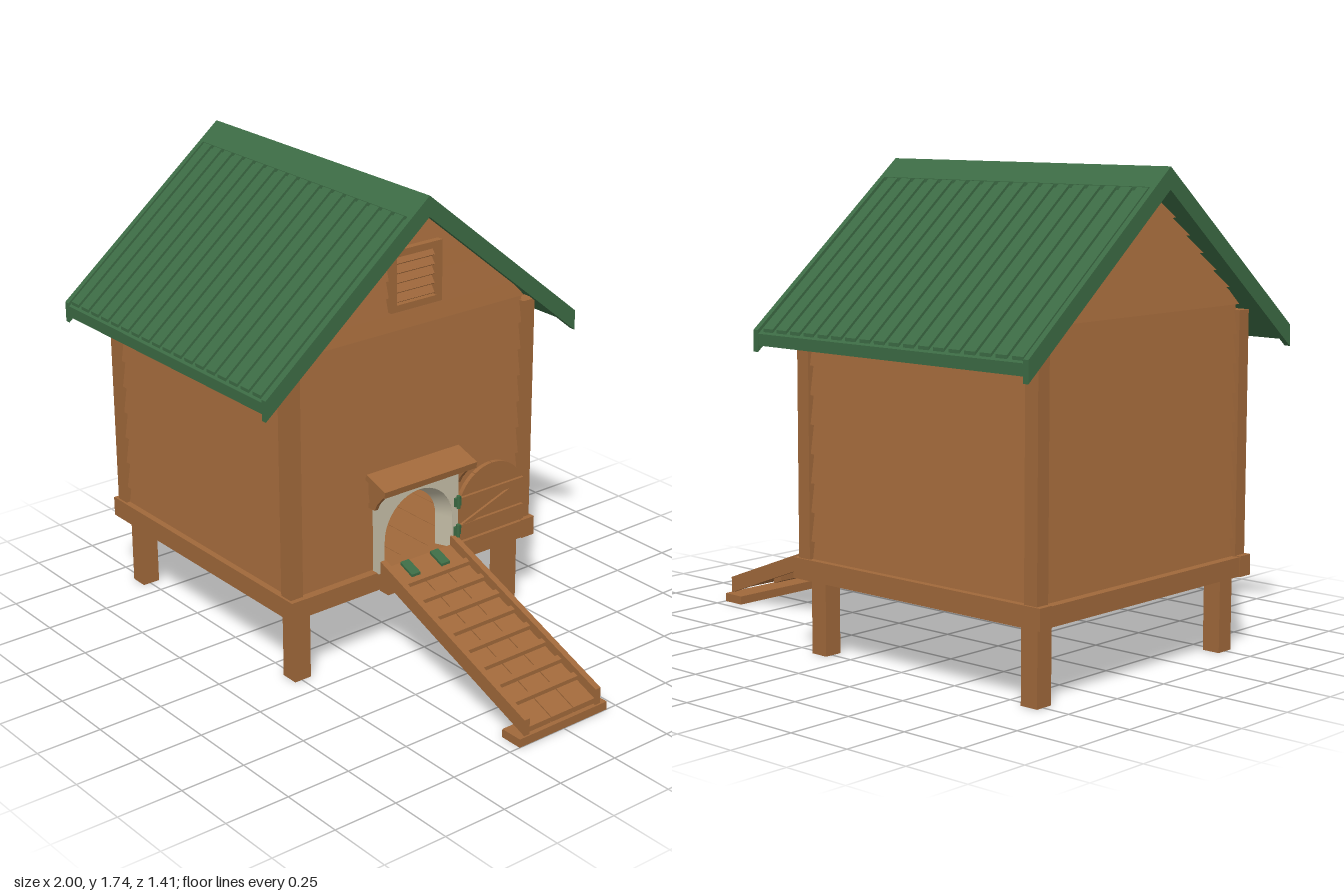
import * as THREE from 'three';
import { mergeGeometries } from 'three/addons/utils/BufferGeometryUtils.js';

const mat = (name, color, side = THREE.FrontSide) => {
  const m = new THREE.MeshStandardMaterial({ color, side });
  m.name = name;
  return m;
};

export function createModel() {
  const wood = mat('wood', 0xa0683a);
  const green = mat('greenRoof', 0x3c6b44);
  const cream = mat('creamPaint', 0xc4bda6, THREE.DoubleSide);
  const model = new THREE.Group();
  model.name = 'henHouse';

  const add = (name, geo, material, parent = model) => {
    const m = new THREE.Mesh(geo, material);
    m.name = name;
    parent.add(m);
    return m;
  };
  // Box given by its limits
  const boxGeo = (x0, x1, y0, y1, z0, z1) =>
    new THREE.BoxGeometry(x1 - x0, y1 - y0, z1 - z0).translate((x0 + x1) / 2, (y0 + y1) / 2, (z0 + z1) / 2);
  const shapeOf = pts => new THREE.Shape(pts.map(p => new THREE.Vector2(p[0], p[1])));
  // Outline in (x, y) extruded from z0 to z1
  const prismZ = (pts, z0, z1) =>
    new THREE.ExtrudeGeometry(shapeOf(pts), { depth: z1 - z0, bevelEnabled: false }).translate(0, 0, z0);
  // Outline in (z, y) extruded from x0 to x1
  const prismX = (pts, x0, x1) => prismZ(pts.map(([z, y]) => [-z, y]), x0, x1).rotateY(Math.PI / 2);

  // House limits
  const CX = -0.365, HX = 0.555, HZ = 0.565, SLOPE = 0.815;

  // One lapped board, thicker at its lower edge
  const board = (y0, y1, lo, hi, back, d0, d1) => {
    const g = new THREE.BoxGeometry(1, 1, 1), p = g.attributes.position;
    for (let i = 0; i < p.count; i++) {
      const top = p.getY(i) > 0, right = p.getX(i) > 0, front = p.getZ(i) > 0;
      p.setXYZ(i, (top ? hi : lo)[right ? 1 : 0], top ? y1 : y0, front ? (top ? d1 : d0) : back);
    }
    g.computeVertexNormals();
    return g;
  };
  // Siding facing +z, split around rectangular holes [u0, u1, y0, y1]
  const siding = (rows, half, d, holes = []) => {
    const parts = [];
    for (let i = 0; i < rows.length - 1; i++) {
      const a = rows[i], b = rows[i + 1];
      const cuts = [a, b, ...holes.flatMap(h => [h[2], h[3]]).filter(y => y > a && y < b)].sort((p, q) => p - q);
      const depth = y => d - 0.009 - 0.017 * (y - a) / (b - a);
      for (let k = 0; k < cuts.length - 1; k++) {
        const y0 = cuts[k], y1 = cuts[k + 1], m = (y0 + y1) / 2;
        const h = holes.find(o => m > o[2] && m < o[3]);
        const put = (lo, hi) => parts.push(board(y0, y1, lo, hi, d - 0.045, depth(y0), depth(y1)));
        if (h) {
          put([-half(y0), h[0]], [-half(y1), h[0]]);
          put([h[1], half(y0)], [h[1], half(y1)]);
        } else put([-half(y0), half(y0)], [-half(y1), half(y1)]);
      }
    }
    return mergeGeometries(parts);
  };
  const rows = [0.31];
  for (let i = 1; i <= 9; i++) rows.push(0.31 + i * 0.104);
  const gableRows = [...rows, 1.31, 1.373, 1.436, 1.5, 1.563, 1.625, 1.685];
  const gableHalf = y => Math.max(0.003, Math.min(0.52, (1.69 - y) / SLOPE));

  // Walls
  for (const s of [1, -1]) {
    const long = add(s > 0 ? 'frontWall' : 'backWall', siding(rows.slice(0, 10), () => 0.51, HZ), wood);
    long.position.x = CX;
    long.rotation.y = s > 0 ? 0 : Math.PI;
    const holes = s > 0 ? [[-0.17, 0.17, 0.31, 0.625], [-0.095, 0.095, 1.34, 1.53]] : [];
    const gable = add(s > 0 ? 'doorGable' : 'plainGable', siding(gableRows, gableHalf, HX, holes), wood);
    gable.position.x = CX;
    gable.rotation.y = s * Math.PI / 2;
  }

  // Corner posts, legs and base frame
  for (const sx of [1, -1]) {
    for (const sz of [1, -1]) {
      add('cornerPost', new THREE.BoxGeometry(0.055, 0.88, 0.055), wood)
        .position.set(CX + sx * (HX - 0.0275), 0.785, sz * (HZ - 0.0275));
      add('leg', new THREE.BoxGeometry(0.07, 0.3, 0.07), wood).position.set(CX + sx * 0.4925, 0.15, sz * 0.495);
    }
    add('sideSkirt', new THREE.BoxGeometry(0.06, 0.07, 1.03), wood).position.set(CX + sx * 0.542, 0.312, 0);
    add('longSkirt', new THREE.BoxGeometry(1.15, 0.075, 0.06), wood).position.set(CX, 0.3125, sx * 0.544);
    add('floorBeam', boxGeo(-0.84, 0.11, 0.247, 0.285, sx * 0.26 - 0.024, sx * 0.26 + 0.024), wood);
  }
  for (let i = 0; i < 8; i++) {
    const z = -0.515 + i * 0.12875;
    add('floorPlank', boxGeo(-0.9, 0.17, 0.283, 0.325, z + 0.001, z + 0.1277), wood);
  }

  // Roof halves: slab, bargeboards, ridge cap and raised ribs
  const strip = (s, z0, z1, top, bottom) => [
    [s * z0, top - SLOPE * z0], [s * z1, top - SLOPE * z1],
    [s * z1, bottom - SLOPE * z1], [s * z0, bottom - SLOPE * z0]];
  for (const s of [1, -1]) {
    add('roofSlab', prismX(strip(s, 0, 0.703, 1.726, 1.685), -0.98, 0.24), green);
    add('ridgeCap', prismX(strip(s, 0, 0.08, 1.74, 1.7), -0.99, 0.25), green);
    for (const x of [-1, 0.238]) add('bargeboard', prismX(strip(s, 0, 0.705, 1.74, 1.664), x, x + 0.022), green);
    const ribs = [];
    for (let i = 0; i < 18; i++) {
      const x = -0.97 + i * 0.0672;
      ribs.push(prismX(strip(s, 0.075, 0.695, 1.738, 1.72), x, x + 0.047));
    }
    add('roofRibs', mergeGeometries(ribs), green);
  }

  // Details on the door side: local x runs toward -z, local z toward +x
  const side = new THREE.Group();
  side.name = 'doorSide';
  side.rotation.y = Math.PI / 2;
  model.add(side);

  // Arch outline from lower right over the top to lower left
  const arch = (cx, cy, r, bottom, n = 20) => {
    const pts = [[cx + r, bottom]];
    for (let i = 0; i <= n; i++) pts.push([cx + r * Math.cos(Math.PI * i / n), cy + r * Math.sin(Math.PI * i / n)]);
    pts.push([cx - r, bottom]);
    return pts;
  };

  // Gable vent
  for (const s of [1, -1]) {
    add('ventFrameSide', boxGeo(s * 0.1025 - 0.0125, s * 0.1025 + 0.0125, 1.32, 1.545, 0.14, 0.195), wood, side);
    add('ventFrameRail', boxGeo(-0.09, 0.09, 1.4325 + s * 0.1 - 0.0125, 1.4325 + s * 0.1 + 0.0125, 0.14, 0.195), wood, side);
  }
  for (let i = 0; i < 5; i++) {
    const slat = add('ventSlat', new THREE.BoxGeometry(0.18, 0.03, 0.008), wood, side);
    slat.position.set(0, 1.362 + i * 0.035, 0.172);
    slat.rotation.x = -0.6;
  }

  // Door surround with a splayed arch
  const panel = shapeOf([[-0.187, 0.345], [-0.16, 0.345], ...arch(0, 0.468, 0.16, 0.345).reverse(),
    [0.187, 0.345], [0.187, 0.652], [-0.187, 0.652]]);
  add('doorSurround', new THREE.ExtrudeGeometry(panel, { depth: 0.035, bevelEnabled: false }).translate(0, 0, 0.18), cream, side);
  const outer = arch(0, 0.468, 0.16, 0.345), inner = arch(0, 0.468, 0.132, 0.345);
  const pos = [], idx = [];
  outer.forEach(([x, y], i) => {
    pos.push(x, y, 0.214, inner[i][0], inner[i][1], 0.15);
    if (i) idx.push(2 * i - 2, 2 * i, 2 * i - 1, 2 * i, 2 * i + 1, 2 * i - 1);
  });
  const splay = new THREE.BufferGeometry();
  splay.setAttribute('position', new THREE.Float32BufferAttribute(pos, 3));
  splay.setIndex(idx);
  splay.computeVertexNormals();
  add('archSplay', splay, cream, side);

  // Awning and its brackets
  add('awning', prismZ([[0.175, 0.735], [0.285, 0.7], [0.28, 0.675], [0.175, 0.71]], -0.215, 0.215), wood);
  add('awningRail', boxGeo(0.175, 0.222, 0.655, 0.715, -0.19, 0.19), wood);
  for (const z of [0.187, -0.202])
    add('awningBracket', prismZ([[0.175, 0.71], [0.27, 0.68], [0.222, 0.625], [0.21, 0.6], [0.175, 0.6]], z, z + 0.015), wood);

  // Open door: arched planks with a Z brace
  const DX = 0.355, DR = 0.165;
  for (let i = 0; i < 4; i++) {
    const a = -DR + i * DR / 2 + 0.001, b = a + DR / 2 - 0.002, pts = [[b, 0.358], [a, 0.358]];
    for (let k = 0; k <= 8; k++) {
      const u = a + (b - a) * k / 8;
      pts.push([u, 0.468 + Math.sqrt(DR * DR - u * u)]);
    }
    add('doorPlank', prismZ(pts, 0.192, 0.21).translate(DX, 0, 0), wood, side);
  }
  add('doorBar', boxGeo(0.2, 0.505, 0.51, 0.538, 0.208, 0.222), wood, side);
  add('doorBar', boxGeo(0.2, 0.505, 0.4, 0.428, 0.208, 0.222), wood, side);
  add('doorBrace', prismZ([[0.2, 0.428], [0.26, 0.428], [0.505, 0.51], [0.44, 0.51]], 0.208, 0.22), wood, side);
  for (const y of [0.528, 0.412]) {
    add('doorHinge', boxGeo(0.166, 0.196, y - 0.017, y + 0.017, 0.205, 0.224), green, side);
    add('hingePin', new THREE.CylinderGeometry(0.008, 0.008, 0.05, 10), green, side).position.set(0.181, y, 0.224);
  }

  // Ramp: rails, planks, treads, under-cleats and foot
  const rampY = x => 0.365 - (x - 0.21) * 0.385;
  const sloped = (x0, x1, up, down, z0, z1) => prismZ([
    [x0, rampY(x0) + up], [x1, rampY(x1) + up], [x1, rampY(x1) - down], [x0, rampY(x0) - down]], z0, z1);
  for (const s of [1, -1]) {
    add('rampRail', sloped(0.21, 0.993, 0.03, 0.032, s * 0.167 - 0.012, s * 0.167 + 0.012), wood);
    add('rampHinge', sloped(0.218, 0.285, 0.004, 0.012, s * 0.07 - 0.02, s * 0.07 + 0.02), green);
  }
  for (let i = 0; i < 3; i++) {
    const z = -0.155 + i * 0.1033;
    add('rampPlank', sloped(0.212, 0.99, -0.006, 0.026, z + 0.002, z + 0.1013), wood);
  }
  for (let i = 0; i < 8; i++) {
    const x = 0.3 + i * 0.083;
    add('rampTread', sloped(x, x + 0.02, 0.009, 0.01, -0.155, 0.155), wood);
  }
  for (const x of [0.415, 0.735]) add('rampCleat', sloped(x, x + 0.04, -0.025, 0.05, -0.155, 0.155), wood);
  add('rampLedger', boxGeo(0.2, 0.248, 0.268, 0.335, -0.17, 0.17), wood);
  add('rampFoot', boxGeo(0.91, 1, 0, 0.032, -0.205, 0.205), wood);

  return model;
}
